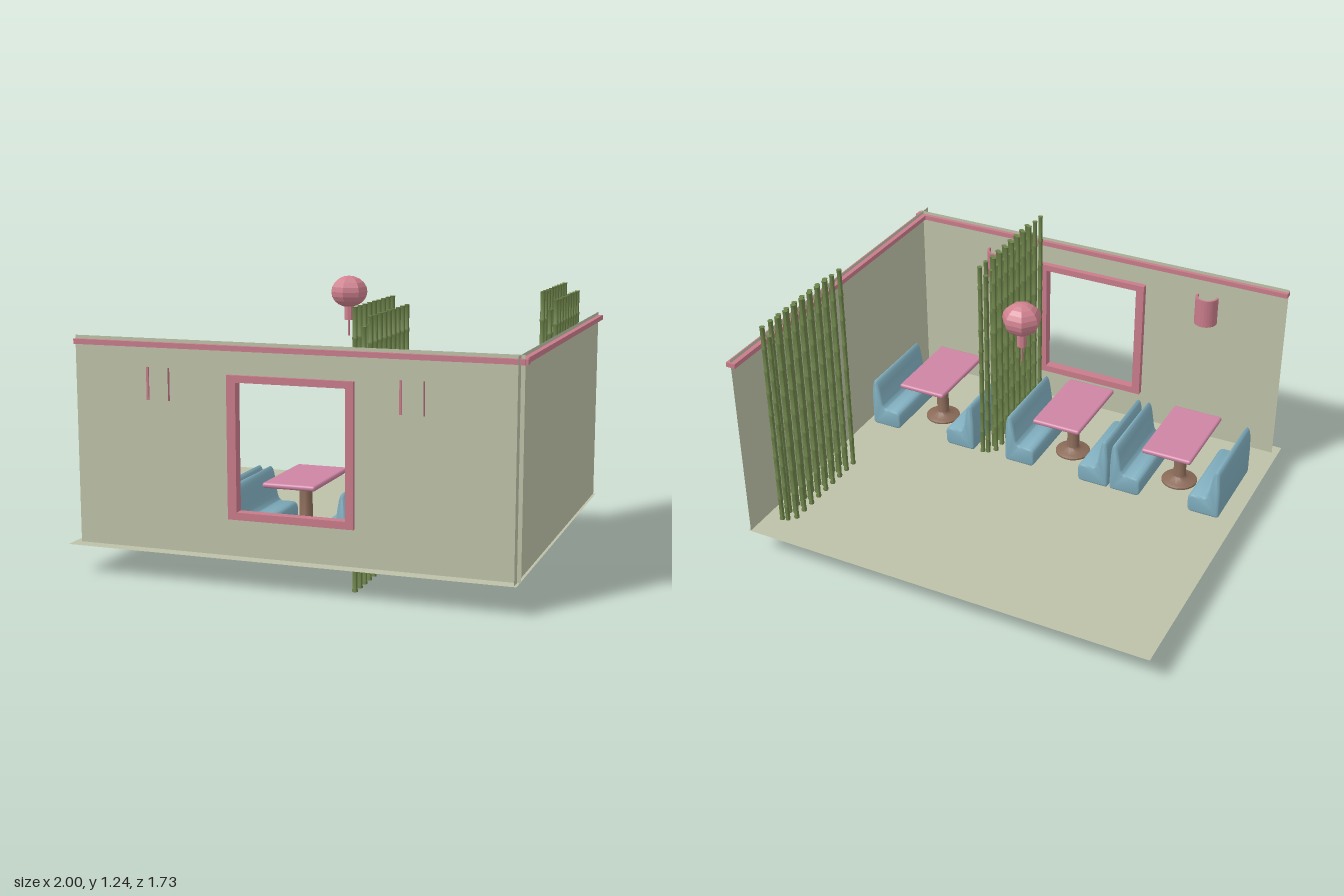
import * as THREE from 'three';
import { RoundedBoxGeometry } from 'three/addons/geometries/RoundedBoxGeometry.js';
import { toCreasedNormals } from 'three/addons/utils/BufferGeometryUtils.js';

const paint = (color, extra = {}) => new THREE.MeshStandardMaterial({ color, ...extra });
const wallMat = paint(0xbdc1a7, { side: THREE.DoubleSide });
const trimMat = paint(0xc87b8a);
const lampMat = paint(0xd08290, { flatShading: true });
const tableMat = paint(0xcd84a4);
const seatMat = paint(0x7fadbd);
const woodMat = paint(0x8a6a58, { side: THREE.DoubleSide });
const bambooMat = paint(0x6c8249);

const FLOOR = 0.13;
const WALL_TOP = 1.037;

function add(parent, name, geometry, material, x = 0, y = 0, z = 0) {
  const mesh = new THREE.Mesh(geometry, material);
  mesh.name = name;
  mesh.position.set(x, y, z);
  parent.add(mesh);
  return mesh;
}

// Rectangle given by its edges, usable as an outline or a hole
function rect(x0, x1, y0, y1, Type = THREE.Shape) {
  return new Type([[x0, y0], [x1, y0], [x1, y1], [x0, y1]].map(p => new THREE.Vector2(...p)));
}

function buildRoom(room) {
  const floor = add(room, 'floor', new THREE.PlaneGeometry(1.98, 1.725), wallMat, -0.01, FLOOR, 0);
  floor.rotation.x = -Math.PI / 2;

  // Thin walls; the front one has the window opening
  const front = rect(-0.97, 0.985, FLOOR, WALL_TOP);
  front.holes.push(rect(-0.235, 0.265, 0.31, 0.88, THREE.Path));
  add(room, 'frontWall', new THREE.ShapeGeometry(front), wallMat, 0, 0, 0.803);
  const side = add(room, 'sideWall', new THREE.PlaneGeometry(1.71, WALL_TOP - FLOOR), wallMat,
    0.968, (FLOOR + WALL_TOP) / 2, -0.005);
  side.rotation.y = Math.PI / 2;

  // Trim rails along the top of both walls
  add(room, 'frontTrim', new THREE.BoxGeometry(1.97, 0.022, 0.038), trimMat, 0.015, 1.011, 0.803);
  add(room, 'sideTrim', new THREE.BoxGeometry(0.044, 0.022, 1.69), trimMat, 0.968, 1.011, -0.018);

  // Window frame
  const frame = rect(-0.265, 0.29, 0.29, 0.9);
  frame.holes.push(rect(-0.225, 0.255, 0.322, 0.87, THREE.Path));
  add(room, 'windowFrame', new THREE.ExtrudeGeometry(frame, { depth: 0.045, bevelEnabled: false }),
    trimMat, 0, 0, 0.774);
}

// Half-round wall lamps whose ends poke through the wall
function buildSconces(room) {
  const arc = new THREE.Shape();
  arc.moveTo(0.055, -0.015);
  arc.absarc(0, 0, 0.055, 0, Math.PI, false);
  arc.lineTo(-0.055, -0.015);
  arc.lineTo(-0.045, -0.015);
  arc.absarc(0, 0, 0.045, Math.PI, 0, true);
  arc.lineTo(0.045, -0.015);
  const geometry = toCreasedNormals(
    new THREE.ExtrudeGeometry(arc, { depth: 0.14, bevelEnabled: false, curveSegments: 14 }), 0.6);
  geometry.rotateX(-Math.PI / 2);
  for (const x of [-0.58, 0.535]) add(room, 'wallSconce', geometry, trimMat, x, 0.775, 0.795);
}

// Bench cross-section facing +x: low cushion and tall rounded back
function benchGeometry() {
  const s = new THREE.Shape();
  s.moveTo(-0.066, 0);
  s.lineTo(0.055, 0);
  s.quadraticCurveTo(0.078, 0, 0.078, 0.03);
  s.lineTo(0.078, 0.065);
  s.quadraticCurveTo(0.078, 0.098, 0.045, 0.098);
  s.lineTo(0.01, 0.096);
  s.quadraticCurveTo(-0.015, 0.096, -0.022, 0.13);
  s.lineTo(-0.033, 0.2);
  s.bezierCurveTo(-0.042, 0.27, -0.068, 0.27, -0.074, 0.21);
  s.lineTo(-0.078, 0.15);
  s.lineTo(-0.078, 0.02);
  s.quadraticCurveTo(-0.078, 0, -0.066, 0);
  const bevel = 0.012;
  const g = new THREE.ExtrudeGeometry(s, {
    depth: 0.43 - 2 * bevel, bevelThickness: bevel, bevelSize: bevel, bevelOffset: -bevel,
    bevelSegments: 3, curveSegments: 8,
  });
  g.translate(0, 0, bevel - 0.215);
  return toCreasedNormals(g, 0.8);
}

function buildBooths(room) {
  const bench = benchGeometry();
  const top = new RoundedBoxGeometry(0.243, 0.024, 0.425, 3, 0.011);
  // Turned pedestal with a wide foot, hollowed underneath
  const pedestal = toCreasedNormals(new THREE.LatheGeometry([
    [0.022, 0.01], [0.03, -0.003], [0.07, -0.003], [0.085, 0.002], [0.085, 0.01],
    [0.07, 0.018], [0.04, 0.024], [0.03, 0.036], [0.029, 0.252],
  ].map(p => new THREE.Vector2(...p)), 24), 0.7);

  // [table centre, left bench centre, right bench centre]
  for (const [table, a, b] of [[-0.645, -0.842, -0.447], [-0.084, -0.282, 0.107], [0.647, 0.435, 0.855]]) {
    const booth = new THREE.Group();
    booth.name = 'booth';
    booth.position.set(0, FLOOR, 0.381);
    add(booth, 'tableTop', top, tableMat, table, 0.262, 0);
    add(booth, 'tablePedestal', pedestal, woodMat, table, 0, 0);
    add(booth, 'bench', bench, seatMat, a, 0.001, 0);
    add(booth, 'bench', bench, seatMat, b, 0.001, 0).rotation.y = Math.PI;
    room.add(booth);
  }
}

// Bamboo stalk: tapered pieces joined by raised rings
function stalkGeometry(bottom, top) {
  const pieces = 9, points = [new THREE.Vector2(0, bottom)];
  const step = (top - bottom) / pieces;
  for (let i = 0; i < pieces; i++) {
    const y = bottom + i * step;
    points.push(new THREE.Vector2(0.0128, y), new THREE.Vector2(0.0128, y + 0.008),
      new THREE.Vector2(0.0108, y + 0.014), new THREE.Vector2(0.0108, y + step - 0.006));
  }
  points.push(new THREE.Vector2(0.0128, top), new THREE.Vector2(0, top));
  return toCreasedNormals(new THREE.LatheGeometry(points, 8), 0.9);
}

function buildBamboo(room) {
  // Three staggered rows: [x, first z, bottom, top]
  const rows = [[0.262, 0.223, 0, 1.19], [0.29, 0.192, 0.09, 1.107], [0.315, 0.183, 0.132, 1.15]]
    .map(([x, z, bottom, top]) => ({ x, z, geometry: stalkGeometry(bottom, top) }));
  for (const [dx, dz] of [[0, 0], [0.573, -0.905]]) {
    const screen = new THREE.Group();
    screen.name = 'bambooScreen';
    screen.position.set(dx, 0, dz);
    for (const { x, z, geometry } of rows) {
      for (let i = 0; i < 9; i++) add(screen, 'bambooStalk', geometry, bambooMat, x, 0, z + i * 0.0615);
    }
    room.add(screen);
  }
}

// Hanging lantern with a neck and a thin cord below
function buildLantern(room) {
  const lantern = new THREE.Group();
  lantern.name = 'lantern';
  lantern.position.set(-0.085, 0, -0.19);
  const globe = new THREE.SphereGeometry(0.087, 7, 10);
  globe.rotateY(Math.PI / 2);
  globe.scale(1, 0.84, 1);
  add(lantern, 'lanternGlobe', globe, lampMat, 0, 1.163, 0);
  add(lantern, 'lanternNeck', new THREE.CylinderGeometry(0.021, 0.021, 0.07, 8), lampMat, 0, 1.065, 0);
  add(lantern, 'lanternCord', new THREE.CylinderGeometry(0.004, 0.004, 0.08, 6), trimMat, 0, 0.995, 0);
  room.add(lantern);
}

export function createModel() {
  const room = new THREE.Group();
  room.name = 'diningRoom';
  buildRoom(room);
  buildSconces(room);
  buildBooths(room);
  buildBamboo(room);
  buildLantern(room);
  return room;
}
